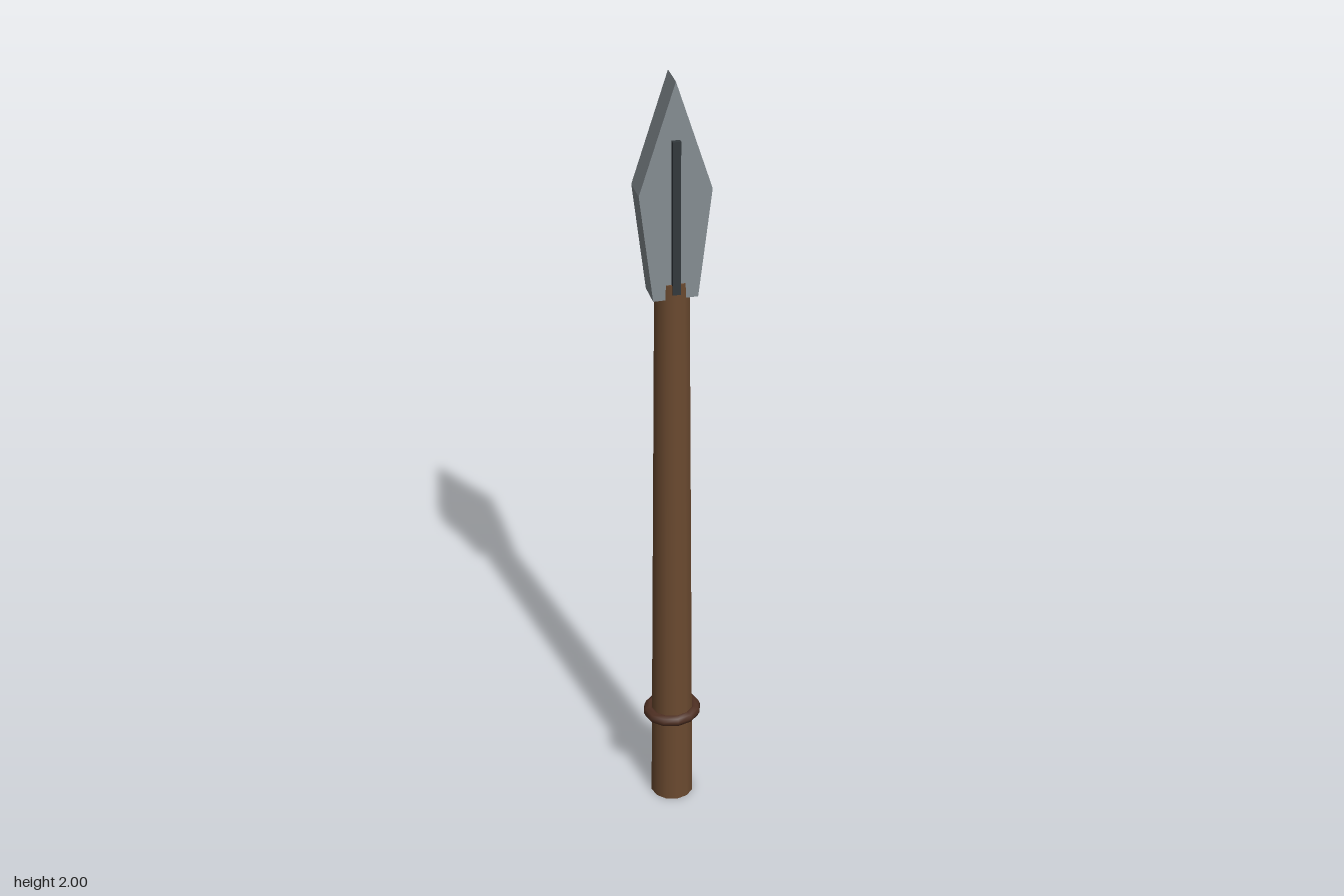
import * as THREE from 'three';

export function createModel() {
  const spear = new THREE.Group();
  spear.name = 'spear';
  const add = (name, geometry, color, flatShading = false) => {
    const mesh = new THREE.Mesh(geometry, new THREE.MeshStandardMaterial({ color, flatShading }));
    mesh.name = name;
    spear.add(mesh);
    return mesh;
  };

  // tapered wooden shaft
  add('shaft', new THREE.CylinderGeometry(0.042, 0.055, 1.505, 12), 0x6b4a30)
    .position.set(0, 0.7525, -0.001);

  // grip ring, slightly flattened front to back
  const ring = add('gripRing', new THREE.TorusGeometry(0.059, 0.0155, 8, 12).rotateX(Math.PI / 2), 0x4f3023);
  ring.position.set(0, 0.258, -0.001);
  ring.scale.z = 0.89;

  // kite-shaped slab blade
  const outline = new THREE.Shape([
    [0, 2], [-0.085, 1.735], [-0.053, 1.467], [0.053, 1.467], [0.085, 1.735],
  ].map(([x, y]) => new THREE.Vector2(x, y)));
  const blade = new THREE.ExtrudeGeometry(outline, { depth: 0.068, bevelEnabled: false });
  add('blade', blade, 0x868e93, true).position.z = -0.035;

  // dark rib down the front of the blade
  add('bladeRib', new THREE.BoxGeometry(0.019, 0.38, 0.018), 0x33393d, true)
    .position.set(0, 1.672, 0.034);

  return spear;
}
